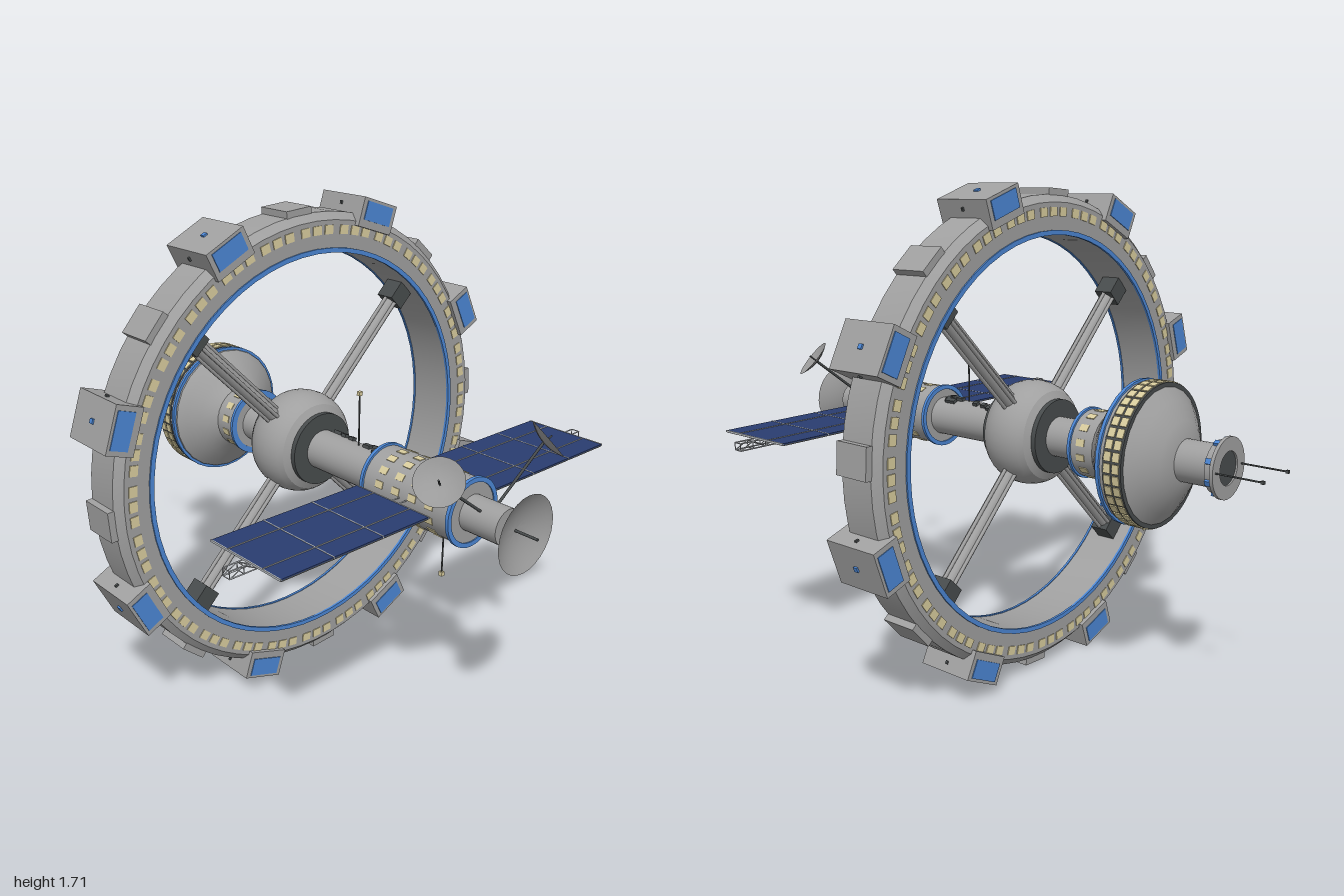
import * as THREE from 'three';
import { mergeGeometries, toCreasedNormals } from 'three/addons/utils/BufferGeometryUtils.js';

const V = (x, y, z) => new THREE.Vector3(x, y, z);
const rad = THREE.MathUtils.degToRad;

function makeMaterials() {
  const colours = {
    hull: 0xa0a0a0, darkMetal: 0x484c4d, blueTrim: 0x4b86d4, windowGlow: 0xd9cd9e,
    solarCell: 0x2a3d70, panelLine: 0xb4b8bc, panelBack: 0x505250,
  };
  const mats = {};
  for (const [name, color] of Object.entries(colours)) {
    mats[name] = new THREE.MeshStandardMaterial({ color });
    mats[name].name = name;
  }
  mats.dishMetal = new THREE.MeshStandardMaterial({ color: 0x9a9a9a, side: THREE.DoubleSide });
  mats.dishMetal.name = 'dishMetal';
  return mats;
}

// Surface of revolution about z from [radius, z] points, z rising on the outside
function spin(points, segments = 32) {
  const g = new THREE.LatheGeometry(points.map(([r, z]) => new THREE.Vector2(r, z)), segments);
  return toCreasedNormals(g.rotateX(Math.PI / 2), 0.45);
}
const drum = (r, z0, z1, segments) => spin([[0, z0], [r, z0], [r, z1], [0, z1]], segments);
const hoop = (r0, r1, z0, z1, segments) =>
  spin([[r0, z0], [r1, z0], [r1, z1], [r0, z1], [r0, z0]], segments);

// Box placed at a radius and angle around the z axis
const polarBox = (dr, dt, dz, r, z, angle) =>
  new THREE.BoxGeometry(dr, dt, dz).translate(r, 0, z).rotateZ(angle);

const block = (w, h, d, x, y, z) => new THREE.BoxGeometry(w, h, d).translate(x, y, z);

// Round bar between two points
function bar(a, b, r, sides = 6) {
  const dir = b.clone().sub(a);
  const g = new THREE.CylinderGeometry(r, r, dir.length(), sides);
  g.applyQuaternion(new THREE.Quaternion().setFromUnitVectors(V(0, 1, 0), dir.normalize()));
  return g.translate((a.x + b.x) / 2, (a.y + b.y) / 2, (a.z + b.z) / 2);
}

// Shallow bowl opening towards +z, vertex at the origin
function bowl(radius, depth) {
  const pts = [];
  for (let i = 0; i <= 8; i++) pts.push([radius * i / 8, depth * (i / 8) ** 2]);
  return spin(pts, 28);
}

export function createModel() {
  const m = makeMaterials();
  const root = new THREE.Group();
  root.name = 'spaceStation';
  const station = new THREE.Group();
  station.name = 'stationBody';
  station.position.y = 0.858;
  root.add(station);

  const add = (name, material, ...geoms) => {
    const parts = geoms.flat().map(g => (g.index ? g.toNonIndexed() : g));
    const mesh = new THREE.Mesh(parts.length > 1 ? mergeGeometries(parts) : parts[0], material);
    mesh.name = name;
    station.add(mesh);
    return mesh;
  };

  // Habitat ring
  const RZ = -0.057, back = RZ - 0.088, front = RZ + 0.088;
  add('habitatRing', m.hull, spin([
    [0.69, back], [0.795, back], [0.82, back + 0.025], [0.82, front - 0.025],
    [0.795, front], [0.69, front], [0.69, back]], 64));
  add('ringTrim', m.blueTrim,
    hoop(0.687, 0.703, front - 0.004, front + 0.005, 64),
    hoop(0.687, 0.703, back - 0.005, back + 0.004, 64));
  const ringWindows = [];
  for (let i = 0; i < 28; i++) for (let j = -1; j <= 1; j++) for (const z of [front, back])
    ringWindows.push(polarBox(0.03, 0.036, 0.006, 0.763, z, (i + j * 0.3) * Math.PI / 14));
  add('ringWindows', m.windowGlow, ringWindows);

  // Pods and raised hatches around the rim
  const pods = [], podPanes = [], hatches = [], podStuds = [];
  for (let i = 0; i < 8; i++) {
    const a = rad(26.5 + 45 * i);
    pods.push(polarBox(0.1, 0.16, 0.21, 0.826, RZ, a));
    for (const s of [-1, 1]) podPanes.push(polarBox(0.064, 0.125, 0.006, 0.834, RZ + s * 0.105, a));
    podPanes.push(polarBox(0.008, 0.016, 0.016, 0.878, RZ, a));
    for (const s of [-1, 1]) podStuds.push(polarBox(0.012, 0.008, 0.008, 0.848, RZ, a + s * 0.097));
    hatches.push(polarBox(0.06, 0.105, 0.13, 0.81, RZ, a + rad(22.5)));
  }
  add('rimPods', m.hull, pods);
  add('podPanes', m.blueTrim, podPanes);
  add('podStuds', m.darkMetal, podStuds);
  add('rimHatches', m.hull, hatches);

  // Spokes with side rails and dark end collars
  const spokes = [], collars = [];
  for (let i = 0; i < 4; i++) {
    const a = rad(45 + 90 * i);
    spokes.push(bar(V(0.1, 0, RZ), V(0.69, 0, RZ), 0.024, 16).rotateZ(a));
    for (const [t, z] of [[1, 0], [-1, 0], [0, 1], [0, -1]])
      spokes.push(bar(V(0.1, t * 0.027, RZ + z * 0.027), V(0.69, t * 0.027, RZ + z * 0.027), 0.007).rotateZ(a));
    collars.push(polarBox(0.075, 0.072, 0.072, 0.655, RZ, a));
  }
  add('spokes', m.hull, spokes);
  add('spokeCollars', m.darkMetal, collars);

  // Central hub
  const hubProfile = [];
  for (let i = 0; i <= 12; i++) {
    const t = -1 + i / 6;
    hubProfile.push([0.12 + 0.065 * Math.sqrt(1 - t * t), RZ + 0.105 * t]);
  }
  add('hub', m.hull, spin(hubProfile, 36));
  add('hubCaps', m.darkMetal, drum(0.13, RZ + 0.07, RZ + 0.118, 36), drum(0.13, RZ - 0.118, RZ - 0.07, 36));

  // Forward spine, module and nose
  add('forwardSpine', m.hull, drum(0.07, 0.05, 0.38));
  add('forwardModule', m.hull, drum(0.108, 0.375, 0.75));
  add('noseTube', m.hull, drum(0.06, 0.74, 0.89));
  add('forwardTrim', m.blueTrim, hoop(0.1, 0.116, 0.37, 0.382), hoop(0.1, 0.116, 0.742, 0.754));
  const moduleWindows = [];
  for (let i = 0; i < 14; i++) for (let j = 0; j < 4; j++)
    moduleWindows.push(polarBox(0.006, 0.024, 0.032, 0.107, 0.45 + j * 0.072, rad(90) + i * Math.PI / 7));
  add('moduleWindows', m.windowGlow, moduleWindows);
  const boxes = [[62, 0.11, 0.035], [70, 0.15, 0.02], [84, 0.28, 0.03], [66, 0.31, 0.045],
    [76, 0.33, 0.02], [95, 0.33, 0.02], [72, 0.19, 0.02]];
  add('spineEquipment', m.darkMetal,
    boxes.map(([a, z, l]) => polarBox(0.016, 0.018, l, 0.073, z, rad(a))));

  // Whip masts with lamp tips
  add('mastRods', m.darkMetal,
    bar(V(0, 0.06, 0.245), V(0, 0.25, 0.245), 0.003), bar(V(0, -0.1, 0.64), V(0, -0.255, 0.64), 0.003));
  add('mastTips', m.windowGlow,
    block(0.014, 0.014, 0.014, 0, 0.255, 0.245), block(0.014, 0.014, 0.014, 0, -0.258, 0.64));

  // Nose dish and the pair of side dishes
  const mainDish = add('noseDish', m.dishMetal, bowl(0.128, 0.04));
  mainDish.position.z = 0.917;
  add('noseFeed', m.darkMetal, bar(V(0, 0, 0.88), V(0, 0, 1), 0.005));
  for (const s of [-1, 1]) {
    const n = V(s * 0.62, 0.65, 0.42).normalize();
    const base = V(s * 0.238, 0.188, 0.82);
    const dish = add(s > 0 ? 'leftDish' : 'rightDish', m.dishMetal, bowl(0.076, 0.02));
    dish.position.copy(base);
    dish.quaternion.setFromUnitVectors(V(0, 0, 1), n);
    add('dishArm', m.darkMetal, bar(V(s * 0.035, 0.035, 0.815), base, 0.005),
      bar(base, base.clone().addScaledVector(n, 0.035), 0.003));
  }

  // Solar wings on open trusses
  const SZ = 0.557;
  for (const s of [-1, 1]) {
    const cells = [], backs = [], lines = [], truss = [];
    for (let i = 0; i < 3; i++) {
      const x = s * (0.252 + i * 0.193);
      cells.push(block(0.19, 0.004, 0.312, x, 0.018, SZ));
      backs.push(block(0.19, 0.004, 0.312, x, 0.014, SZ));
    }
    for (let i = 0; i < 4; i++) lines.push(block(0.004, 0.007, 0.314, s * (0.156 + i * 0.193), 0.0175, SZ));
    for (const z of [-0.078, 0.078]) lines.push(block(0.58, 0.002, 0.004, s * 0.445, 0.021, SZ + z));
    for (const y of [-0.015, 0.01]) for (const z of [-0.015, 0.015])
      truss.push(bar(V(s * 0.1, y, SZ + z), V(s * 0.8, y, SZ + z), 0.0025, 4));
    for (let i = 0; i <= 14; i++) {
      const x = s * (0.1 + i * 0.05), x2 = x + s * 0.05, up = i % 2 ? 1 : -1;
      for (const z of [-0.015, 0.015]) {
        truss.push(bar(V(x, -0.015, SZ + z), V(x, 0.01, SZ + z), 0.002, 4));
        if (i < 14) truss.push(bar(V(x, -0.0025 + up * 0.0125, SZ + z), V(x2, -0.0025 - up * 0.0125, SZ + z), 0.002, 4));
      }
      for (const y of [-0.015, 0.01]) truss.push(bar(V(x, y, SZ - 0.015), V(x, y, SZ + 0.015), 0.002, 4));
    }
    add('solarCells', m.solarCell, cells);
    add('solarBacking', m.panelBack, backs);
    add('solarGrid', m.panelLine, lines);
    add('solarTruss', m.panelLine, truss);
  }

  // Rear neck, collar module and command dome
  add('rearNeck', m.hull, drum(0.07, -0.32, -0.16));
  add('rearCollar', m.hull, drum(0.115, -0.42, -0.305));
  add('rearTrim', m.blueTrim, hoop(0.1, 0.122, -0.314, -0.303), hoop(0.22, 0.243, -0.518, -0.506));
  const collarWindows = [];
  for (let i = 0; i < 14; i++)
    collarWindows.push(polarBox(0.006, 0.024, 0.032, 0.114, -0.352, rad(90) + i * Math.PI / 7));
  add('collarWindows', m.windowGlow, collarWindows);
  add('commandDome', m.hull, spin([
    [0, -0.685], [0.07, -0.685], [0.125, -0.668], [0.185, -0.63], [0.232, -0.595], [0.238, -0.53],
    [0.232, -0.5], [0.205, -0.475], [0.165, -0.445], [0.135, -0.42], [0.11, -0.395], [0, -0.395]], 24));
  add('domeBand', m.darkMetal, hoop(0.215, 0.239, -0.6, -0.53, 48));
  const domeWindows = [];
  for (let i = 0; i < 40; i++) for (const z of [-0.549, -0.581])
    domeWindows.push(polarBox(0.008, 0.03, 0.025, 0.238, z, i * Math.PI / 20));
  add('domeWindows', m.windowGlow, domeWindows);

  // Docking port with clamps and twin aerials
  add('dockingTube', m.hull, drum(0.07, -0.81, -0.67), hoop(0.055, 0.085, -0.828, -0.8),
    hoop(0.055, 0.1, -0.838, -0.826));
  add('dockingHatch', m.darkMetal, drum(0.058, -0.832, -0.8));
  const clamps = [];
  for (let i = 0; i < 8; i++) clamps.push(polarBox(0.014, 0.018, 0.02, 0.087, -0.814, rad(22.5 + 45 * i)));
  add('dockingClamps', m.blueTrim, clamps);
  for (const s of [-1, 1])
    add('dockingAerial', m.darkMetal, bar(V(s * 0.08, 0, -0.83), V(s * 0.08, 0, -1), 0.003),
      block(0.01, 0.01, 0.01, s * 0.08, 0, -0.995));

  return root;
}
